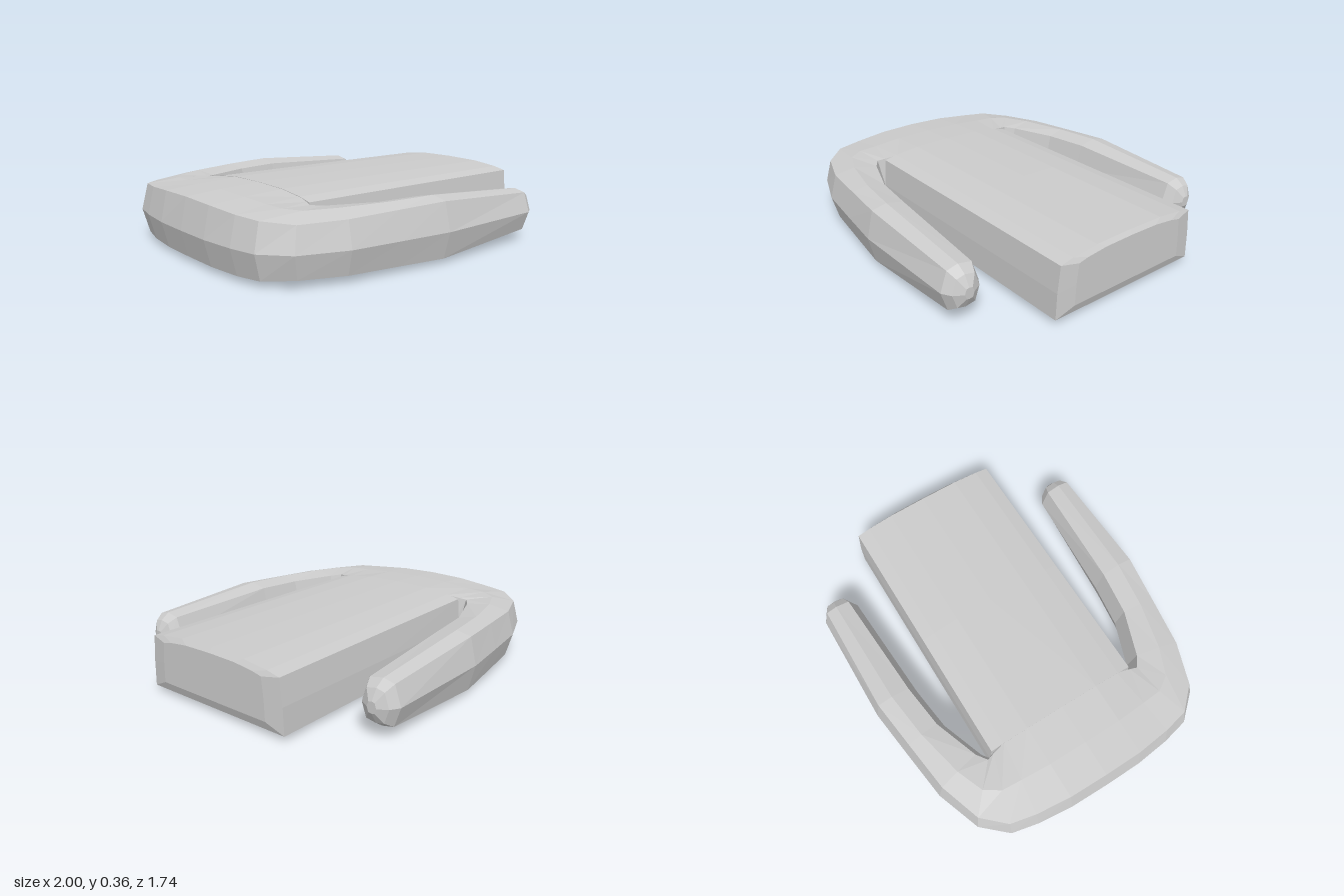
import * as THREE from 'three';

const material = new THREE.MeshStandardMaterial({ color: 0xcccccc, flatShading: true });

// Skin a list of closed rings (arrays of [x, y, z]) and close both ends.
function loft(name, rings) {
  const n = rings[0].length;
  const tris = [];
  for (let i = 0; i < rings.length - 1; i++) {
    for (let j = 0; j < n; j++) {
      const k = (j + 1) % n;
      const a = rings[i][j], b = rings[i][k], c = rings[i + 1][k], d = rings[i + 1][j];
      tris.push([a, b, c], [a, c, d]);
    }
  }
  const cap = (ring, flip) => {
    const mid = [0, 1, 2].map((q) => ring.reduce((s, p) => s + p[q], 0) / n);
    ring.forEach((p, j) => {
      const next = ring[(j + 1) % n];
      tris.push(flip ? [mid, next, p] : [mid, p, next]);
    });
  };
  cap(rings[0], true);
  cap(rings[rings.length - 1], false);

  // Turn the faces outward whatever the direction of the rings
  const vec = (p) => new THREE.Vector3(...p);
  const volume = tris.reduce((s, [a, b, c]) => s + vec(a).dot(vec(b).cross(vec(c))), 0);
  if (volume < 0) tris.forEach((t) => t.reverse());

  const geometry = new THREE.BufferGeometry();
  geometry.setAttribute('position', new THREE.Float32BufferAttribute(tris.flat(2), 3));
  geometry.computeVertexNormals();
  const mesh = new THREE.Mesh(geometry, material);
  mesh.name = name;
  return mesh;
}

// Eight-sided section between an outer and an inner edge in plan.
function section({ o, i, top, bottom }) {
  const [rim, crown, inner] = top;
  const [lowRim, keel, lowInner] = bottom;
  const length = Math.hypot(i[0] - o[0], i[1] - o[1]);
  const e = 0.036 / length;
  const at = (t, y) => [o[0] + (i[0] - o[0]) * t, y, o[1] + (i[1] - o[1]) * t];
  return [
    at(0, 0.17), at(e, rim), at(0.47, crown), at(1 - e, inner),
    at(1, 0.17), at(1 - e, lowInner), at(0.47, keel), at(e, lowRim),
  ];
}

// Shrink a ring about its centre and move it to a given x.
function shrink(ring, x, s) {
  const n = ring.length;
  const cy = ring.reduce((t, p) => t + p[1], 0) / n;
  const cz = ring.reduce((t, p) => t + p[2], 0) / n;
  return ring.map(([, y, z]) => [x, cy + (y - cy) * s, cz + (z - cz) * s]);
}

// Rounded rear end that sweeps forward into an arm on each side
function buildFrame() {
  const stations = [
    { o: [-1.0, 0], i: [-0.5, 0], top: [0.338, 0.351, 0.359], bottom: [0.03, 0.03, 0.03] },
    { o: [-0.997, 0.22], i: [-0.5, 0.22], top: [0.333, 0.346, 0.354], bottom: [0.03, 0.03, 0.03] },
    { o: [-0.975, 0.42], i: [-0.5, 0.36], top: [0.32, 0.337, 0.338], bottom: [0.03, 0.03, 0.03] },
    { o: [-0.942, 0.57], i: [-0.52, 0.43], top: [0.313, 0.335, 0.328], bottom: [0.035, 0.028, 0.03] },
    { o: [-0.82, 0.705], i: [-0.54, 0.46], top: [0.3, 0.332, 0.322], bottom: [0.045, 0.025, 0.03] },
    { o: [-0.57, 0.797], i: [-0.5, 0.49], top: [0.305, 0.334, 0.318], bottom: [0.04, 0.02, 0.03] },
    { o: [-0.28, 0.836], i: [-0.25, 0.582], top: [0.313, 0.336, 0.315], bottom: [0.034, 0.013, 0.03] },
    { o: [0, 0.872], i: [0, 0.615], top: [0.32, 0.338, 0.316], bottom: [0.027, 0.003, 0.028] },
    { o: [0.655, 0.866], i: [0.655, 0.655], top: [0.275, 0.29, 0.275], bottom: [0.067, 0.054, 0.067] },
  ];
  const half = stations.map(section);
  const end = half[half.length - 1];
  half.push(shrink(end, 0.705, 0.72), shrink(end, 0.735, 0.25));
  const mirrored = half.slice(1).reverse().map((ring) => ring.map(([x, y, z]) => [x, y, -z]));
  return loft('rearAndArms', [...mirrored, ...half]);
}

// Broad central slab with a gently crowned top and a pillowed front end
function buildBody() {
  const slice = (x, crown) => {
    const side = [[0.465, 0.03], [0.46, 0.17], [0.445, crown - 0.036], [0.37, crown - 0.02], [0.22, crown - 0.004]];
    const other = side.map(([z, y]) => [-z, y]).reverse();
    return [...side, [0, crown], ...other].map(([z, y]) => [x, y, z]);
  };
  const front = slice(0.983, 0.346);
  return loft('body', [slice(-0.54, 0.36), slice(0.2, 0.354), front, shrink(front, 1.0, 0.78)]);
}

export function createModel() {
  const group = new THREE.Group();
  group.name = 'threeProngedClip';
  group.add(buildFrame(), buildBody());
  return group;
}
